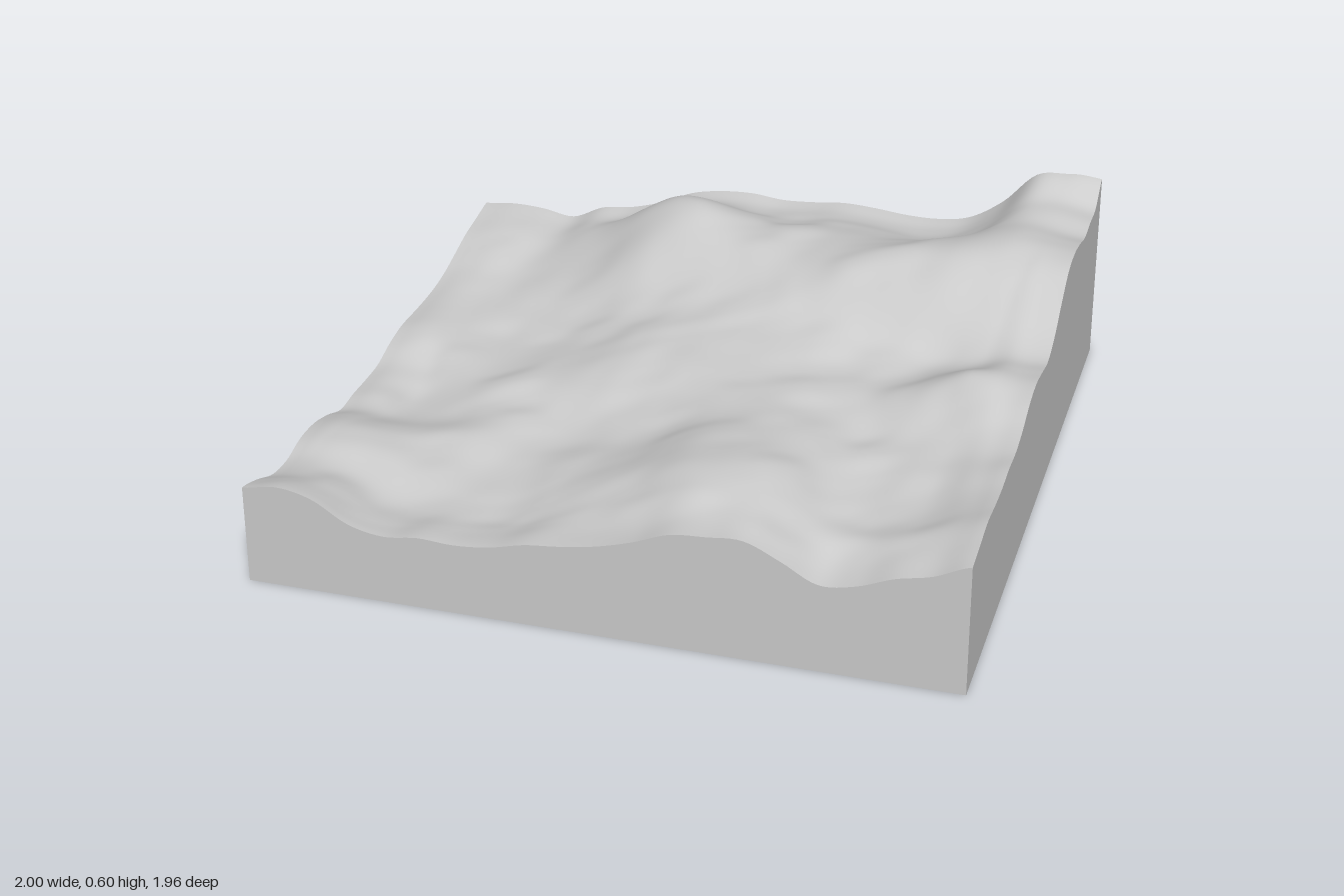
import * as THREE from 'three';

const { lerp, clamp, smoothstep, smootherstep } = THREE.MathUtils;
const HALF_X = 1, HALF_Z = 0.98, SEG = 120;

// Height profiles along the four borders, evenly spaced (x or z from - to +)
const FRONT = [.295, .312, .29, .23, .208, .22, .215, .225, .25, .262, .28, .31, .35, .36, .365, .32, .267, .28, .32, .345, .39];
const BACK = [.25, .26, .255, .24, .285, .30, .33, .375, .395, .40, .39, .395, .405, .40, .39, .39, .41, .475, .57, .56, .535];
const LEFT = [.25, .24, .23, .21, .19, .18, .18, .185, .19, .18, .16, .16, .165, .165, .20, .225, .23, .215, .225, .265, .295];
const RIGHT = [.535, .528, .535, .53, .555, .57, .56, .51, .45, .42, .435, .45, .44, .41, .395, .40, .395, .40, .41, .40, .39];

// Hills and hollows: x, z, radius x, radius z, height
const CORNER_PEAK = [1, -0.98, 0.15, 0.07, 0.055];
const HILLS = [
  [-0.30, -0.68, 0.24, 0.20, 0.13],
  [0.05, -0.60, 0.22, 0.20, 0.07],
  [0.52, -0.48, 0.28, 0.28, 0.125],
  [-0.40, -0.28, 0.25, 0.14, -0.02],
  [-0.15, 0.00, 0.50, 0.30, 0.06],
  [-0.55, 0.28, 0.14, 0.22, 0.05],
  [-0.82, 0.14, 0.12, 0.14, -0.02],
  [0.24, 0.60, 0.26, 0.26, 0.07],
  [0.62, 0.48, 0.18, 0.22, 0.03],
  [0.80, 0.13, 0.20, 0.16, 0.06],
  [0.85, 0.50, 0.14, 0.14, -0.02],
];

function hill([cx, cz, rx, rz, h], x, z) {
  return h * Math.exp(-(((x - cx) / rx) ** 2) - ((z - cz) / rz) ** 2);
}

// Smooth lookup in an evenly spaced profile
function sample(p, t) {
  const f = clamp(t, 0, 1) * (p.length - 1);
  const i = Math.min(Math.floor(f), p.length - 2), k = f - i;
  const b = p[i], c = p[i + 1];
  const a = p[Math.max(i - 1, 0)], d = p[Math.min(i + 2, p.length - 1)];
  return b + 0.5 * k * (c - a + k * (2 * a - 5 * b + 4 * c - d + k * (3 * (b - c) + d - a)));
}

// Profile lookup that loses detail with depth from its border
function soft(p, t, depth) {
  const w = Math.min(depth * 0.2, 0.09, t, 1 - t);
  let sum = 0;
  for (let i = -2; i <= 2; i++) sum += sample(p, t + i * w / 2);
  return sum / 5;
}

// Repeatable smooth noise in -1..1
function hash(i, j) {
  const s = Math.sin(i * 127.1 + j * 311.7) * 43758.5453;
  return (s - Math.floor(s)) * 2 - 1;
}
function noise(x, z) {
  const i = Math.floor(x), j = Math.floor(z);
  const u = smootherstep(x - i, 0, 1), v = smootherstep(z - j, 0, 1);
  return lerp(lerp(hash(i, j), hash(i + 1, j), u), lerp(hash(i, j + 1), hash(i + 1, j + 1), u), v);
}

// Ground height: patch blended from the borders, plus hills and small ripples
function height(px, pz) {
  const dist = Math.min(HALF_X - Math.abs(px), HALF_Z - Math.abs(pz));
  const bend = smoothstep(dist, 0, 0.4) * 0.035, fade = smoothstep(dist, 0, 0.2);
  const x = px + bend * noise(px * 2.6 + 11, pz * 2.6 + 4);
  const z = pz + bend * noise(px * 2.6 + 31, pz * 2.6 + 17);

  const u = (x / HALF_X + 1) / 2, v = (z / HALF_Z + 1) / 2;
  const across = lerp(soft(LEFT, v, u), soft(RIGHT, v, 1 - u), u);
  const along = lerp(soft(BACK, u, v), soft(FRONT, u, 1 - v), v);
  const corners = lerp(lerp(LEFT[0], RIGHT[0], u), lerp(LEFT[20], RIGHT[20], u), v);

  let inner = 0.013 * noise(x * 4.2 + z * 1.5 + 7, z * 4.8 - x * 1.5 + 3)
    + 0.007 * noise(x * 7 - z * 3 + 21, z * 8 + x * 3 + 5);
  for (const h of HILLS) inner += hill(h, x, z);
  return across + along - corners + inner * fade + hill(CORNER_PEAK, x, z);
}

export function createModel() {
  const group = new THREE.Group();
  const material = new THREE.MeshStandardMaterial({ color: 0xcccccc });
  const add = (name, geometry) => {
    const mesh = new THREE.Mesh(geometry, material);
    mesh.name = name;
    group.add(mesh);
  };

  // Rolling ground surface
  const ground = new THREE.PlaneGeometry(2 * HALF_X, 2 * HALF_Z, SEG, SEG).rotateX(-Math.PI / 2);
  const gp = ground.attributes.position;
  for (let i = 0; i < gp.count; i++) gp.setY(i, height(gp.getX(i), gp.getZ(i)));
  ground.computeVertexNormals();
  add('terrainSurface', ground);

  // Flat side walls whose top follows the ground
  const wall = (name, width, distance, angle) => {
    const g = new THREE.PlaneGeometry(width, 1, SEG, 1).translate(0, 0, distance).rotateY(angle);
    const p = g.attributes.position;
    for (let i = 0; i < p.count; i++) p.setY(i, p.getY(i) > 0 ? height(p.getX(i), p.getZ(i)) : 0);
    add(name, g);
  };
  wall('frontWall', 2 * HALF_X, HALF_Z, 0);
  wall('leftWall', 2 * HALF_Z, HALF_X, Math.PI / 2);
  wall('backWall', 2 * HALF_X, HALF_Z, Math.PI);
  wall('rightWall', 2 * HALF_Z, HALF_X, -Math.PI / 2);

  // Flat underside
  add('base', new THREE.PlaneGeometry(2 * HALF_X, 2 * HALF_Z).rotateX(Math.PI / 2));

  return group;
}
